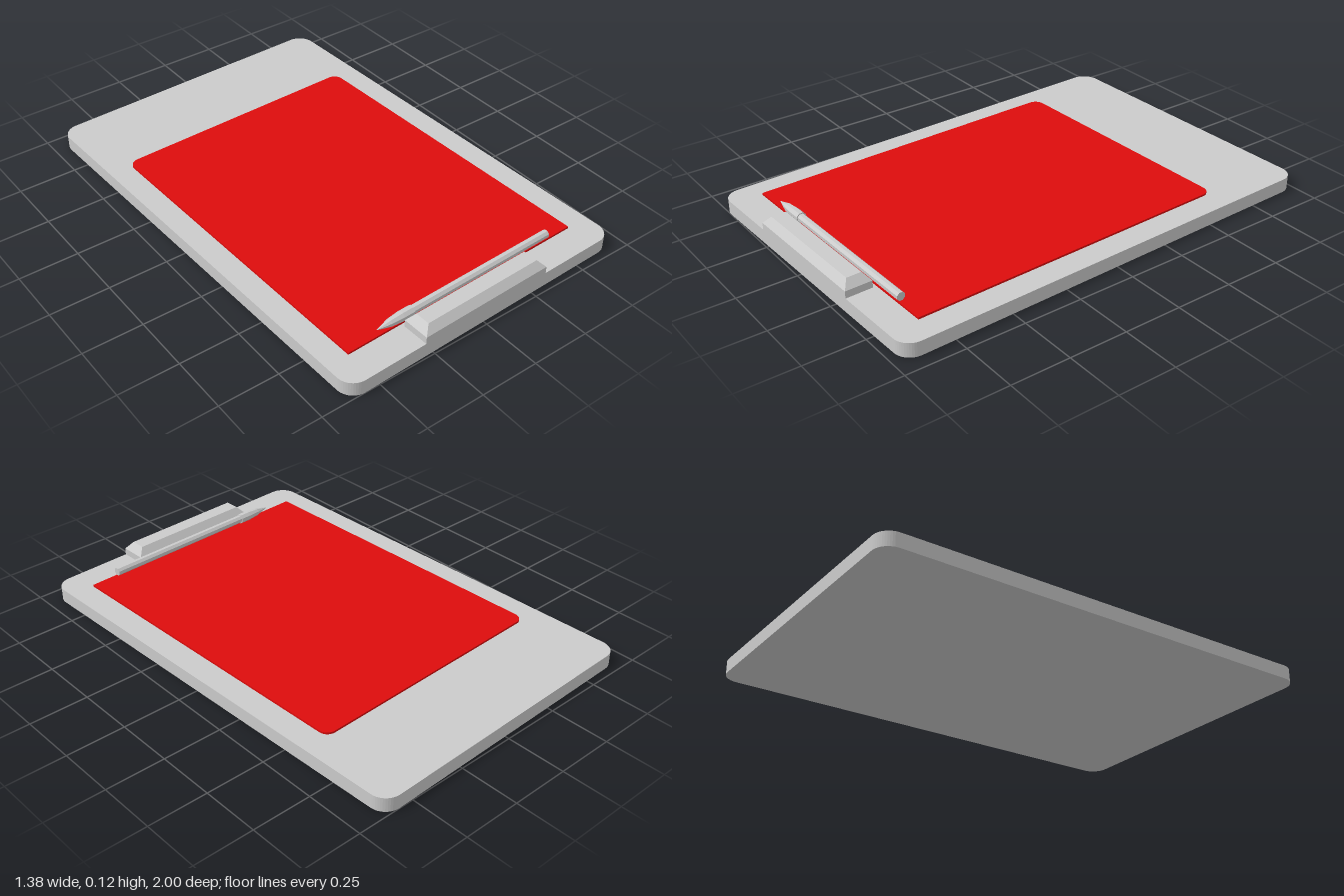
import * as THREE from 'three';

const grey = new THREE.MeshStandardMaterial({ color: 0xcccccc, flatShading: true });
const red = new THREE.MeshStandardMaterial({ color: 0xdd0c0c, flatShading: true });

// Flat slab with its own radius for the back and the front corners
function slab(name, width, length, height, backRadius, frontRadius, material) {
  const w = width / 2, l = length / 2, s = new THREE.Shape();
  s.moveTo(-w + frontRadius, -l);
  s.lineTo(w - frontRadius, -l);
  if (frontRadius) s.absarc(w - frontRadius, -l + frontRadius, frontRadius, -Math.PI / 2, 0);
  s.lineTo(w, l - backRadius);
  s.absarc(w - backRadius, l - backRadius, backRadius, 0, Math.PI / 2);
  s.lineTo(-w + backRadius, l);
  s.absarc(-w + backRadius, l - backRadius, backRadius, Math.PI / 2, Math.PI);
  s.lineTo(-w, -l + frontRadius);
  if (frontRadius) s.absarc(-w + frontRadius, -l + frontRadius, frontRadius, Math.PI, Math.PI * 1.5);
  const geometry = new THREE.ExtrudeGeometry(s, { depth: height, bevelEnabled: false, curveSegments: 6 });
  geometry.rotateX(-Math.PI / 2);
  const mesh = new THREE.Mesh(geometry, material);
  mesh.name = name;
  return mesh;
}

// Block whose upper half slopes inward on all four sides
function clipBlock(width, height, depth, insetX, insetZ) {
  const geometry = new THREE.BoxGeometry(width, height, depth, 1, 2, 1);
  const p = geometry.attributes.position;
  for (let i = 0; i < p.count; i++) {
    if (p.getY(i) < height / 4) continue;
    p.setX(i, p.getX(i) - Math.sign(p.getX(i)) * insetX);
    p.setZ(i, p.getZ(i) - Math.sign(p.getZ(i)) * insetZ);
  }
  const mesh = new THREE.Mesh(geometry, grey);
  mesh.name = 'clip';
  return mesh;
}

// Pencil lying along x, made from faceted sections [x0, r0, x1, r1]
function pencil() {
  const group = new THREE.Group();
  group.name = 'pencil';
  const sections = {
    pencilTip: [-0.425, 0.001, -0.365, 0.017],
    pencilGrip: [-0.365, 0.017, -0.31, 0.022],
    pencilCollar: [-0.31, 0.022, -0.26, 0.022],
    pencilBody: [-0.26, 0.018, 0.435, 0.018],
  };
  for (const [name, [x0, r0, x1, r1]] of Object.entries(sections)) {
    const geometry = new THREE.CylinderGeometry(r1, r0, x1 - x0, 8);
    geometry.rotateY(Math.PI / 8);
    geometry.rotateZ(-Math.PI / 2);
    const mesh = new THREE.Mesh(geometry, grey);
    mesh.name = name;
    mesh.position.x = (x0 + x1) / 2;
    group.add(mesh);
  }
  return group;
}

export function createModel() {
  const model = new THREE.Group();
  model.name = 'clipboard';

  const board = slab('board', 1.326, 1.964, 0.06, 0.07, 0.07, grey);

  const sheet = slab('sheet', 1.118, 1.44, 0.008, 0.04, 0, red);
  sheet.position.set(-0.004, 0.06, 0.132);

  const clip = clipBlock(0.605, 0.064, 0.115, 0.03, 0.026);
  clip.position.set(-0.013, 0.09, 0.9245);

  const pen = pencil();
  pen.position.set(0, 0.088, 0.842);

  // The whole board lies slightly turned
  model.add(board, sheet, clip, pen);
  model.rotation.y = 0.03;
  return model;
}
